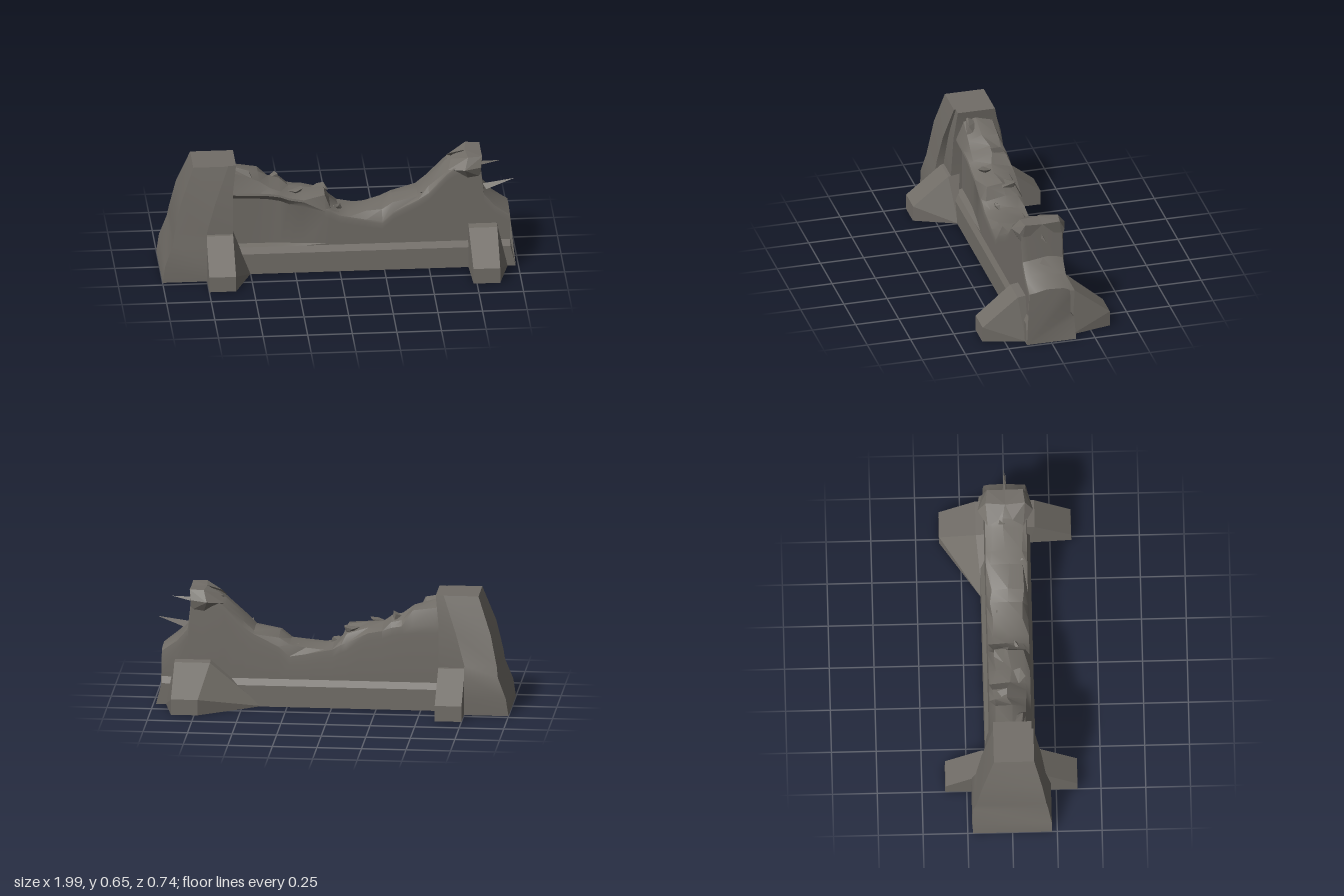
import * as THREE from 'three';
import { toCreasedNormals } from 'three/addons/utils/BufferGeometryUtils.js';
import { ConvexGeometry } from 'three/addons/geometries/ConvexGeometry.js';

// Skin a list of closed rings of [x, y, z] points, with both ends capped
function loft(rings, crease) {
  const n = rings[0].length;
  const index = [];
  for (let i = 0; i < rings.length - 1; i++) {
    for (let j = 0; j < n; j++) {
      const k = (j + 1) % n;
      const a = i * n + j, b = a + n, c = (i + 1) * n + k, d = i * n + k;
      index.push(a, b, c, a, c, d);
    }
  }
  const last = (rings.length - 1) * n;
  for (let j = 1; j < n - 1; j++) {
    index.push(0, j, j + 1, last, last + j + 1, last + j);
  }
  const g = new THREE.BufferGeometry();
  g.setAttribute('position', new THREE.Float32BufferAttribute(rings.flat(2), 3));
  g.setIndex(index);
  return toCreasedNormals(g, crease);
}

const hull = (pts) => new ConvexGeometry(pts.map((p) => new THREE.Vector3(...p)));

export function createModel() {
  const group = new THREE.Group();
  const stone = new THREE.MeshStandardMaterial({ color: 0x716d67 });
  stone.name = 'weathered stone';
  const add = (name, geometry) => {
    const mesh = new THREE.Mesh(geometry, stone);
    mesh.name = name;
    group.add(mesh);
  };
  let seed = 7;
  const rand = () => ((seed = (seed * 16807) % 2147483647) / 2147483647);

  // Broken wall: x, crest height, shoulder height, front panel depth, x at the base
  const stations = [
    [-0.7, 0.64, 0.5, 0.085], [-0.58, 0.61, 0.485, 0.085], [-0.45, 0.57, 0.48, 0.085],
    [-0.39, 0.53, 0.475, 0.087], [-0.33, 0.515, 0.465, 0.092], [-0.28, 0.475, 0.445, 0.097],
    [-0.2, 0.465, 0.43, 0.105], [-0.08, 0.455, 0.37], [-0.05, 0.39, 0.36],
    [0, 0.345, 0.33], [0.05, 0.335, 0.32], [0.15, 0.345, 0.3], [0.24, 0.36, 0.285],
    [0.3, 0.41, 0.34], [0.44, 0.43, 0.41], [0.5, 0.49, 0.45], [0.6, 0.59, 0.56],
    [0.64, 0.62, 0.59], [0.72, 0.65, 0.62], [0.79, 0.65, 0.61], [0.81, 0.45, 0.43],
    [0.87, 0.375, 0.36], [0.955, 0.32, 0.3, 0.12, 0.985],
  ];
  add('brokenWall', loft(stations.map(([x, top, sh, panel = 0.12, xb = x]) => {
    const drop = () => Math.min(top - sh, 0.04) * rand();
    return [
      [xb, 0, 0.14], [x, 0.12, 0.138], [x, 0.155, 0.12], [x, 0.165, panel],
      [x, sh - 0.045, panel], [x, sh - 0.012, 0.12], [x, sh, 0.117],
      [x, top - drop(), 0.07 + 0.03 * rand()], [x, top, 0.04 * (rand() - 0.5)],
      [x, top - drop(), -0.07 - 0.03 * rand()],
      [x, sh, -0.115], [x, sh - 0.045, -0.12], [x, 0.155, -0.12], [x, 0.12, -0.142], [xb, 0, -0.145],
    ];
  }), 0.45));

  // Stepped end pier: each level is y, x0, x1, z front, z back
  const pier = (name, levels) => add(name, loft(levels.map(([y, x0, x1, zf, zb]) => [
    [x0, y, zf], [x0, y, -zb], [x1, y, -zb], [x1, y, zf],
  ]), 0.3));
  pier('outerPier', [
    [0, -1, -0.75, 0.22, 0.22], [0.1, -0.985, -0.75, 0.22, 0.225], [0.22, -0.94, -0.75, 0.2, 0.22],
    [0.28, -0.932, -0.75, 0.19, 0.2], [0.45, -0.895, -0.7, 0.168, 0.165], [0.655, -0.82, -0.625, 0.125, 0.1],
  ]);
  pier('innerPier', [
    [0, -0.8, -0.6, 0.15, 0.15], [0.25, -0.8, -0.6, 0.15, 0.15],
    [0.485, -0.78, -0.6, 0.135, 0.135], [0.655, -0.75, -0.58, 0.115, 0.1],
  ]);

  // Sloping buttresses: side, outer x range, base x range and top x range at the wall
  const buttress = (name, s, [t0, t1], [b0, b1], [u0, u1]) => add(name, hull([
    [t0, 0, 0.37 * s], [t1, 0, 0.37 * s], [t0, 0.088, 0.368 * s], [t1, 0.088, 0.368 * s],
    [b0, 0, 0.135 * s], [b1, 0, 0.135 * s], [u0, 0.25, 0.165 * s], [u1, 0.25, 0.165 * s],
    [u0, 0.26, 0.1 * s], [u1, 0.26, 0.1 * s],
  ]));
  buttress('frontRightButtress', 1, [-0.75, -0.6], [-0.75, -0.5], [-0.75, -0.6]);
  buttress('backRightButtress', -1, [-0.75, -0.6], [-0.75, -0.6], [-0.75, -0.6]);
  buttress('frontLeftButtress', 1, [0.73, 0.88], [0.72, 0.94], [0.72, 0.88]);
  buttress('backLeftButtress', -1, [0.73, 0.88], [0.39, 0.93], [0.68, 0.88]);

  // Jagged blocks crowning the tall end
  for (const s of [1, -1]) {
    add('crownBlock', hull([
      [0.61, 0.58, 0.1 * s], [0.7, 0.595, 0.155 * s], [0.79, 0.6, 0.13 * s], [0.72, 0.655, 0.11 * s],
      [0.8, 0.655, 0.1 * s], [0.71, 0.655, 0], [0.8, 0.65, 0], [0.63, 0.62, 0.04 * s],
      [0.72, 0.53, 0.115 * s], [0.79, 0.54, 0.115 * s],
    ]));
  }

  // Loose rubble along the crest: x, y, z, size
  const rubble = [
    [-0.54, 0.59, 0.05, 0.05], [-0.38, 0.51, -0.06, 0.05], [-0.25, 0.455, 0.05, 0.045],
    [-0.1, 0.43, -0.04, 0.045], [-0.02, 0.345, 0.06, 0.04], [0.22, 0.34, -0.03, 0.05],
    [0.46, 0.42, 0.05, 0.05], [0.64, 0.59, 0, 0.05],
  ];
  for (const [x, y, z, r] of rubble) {
    const pts = [];
    for (let i = 0; i < 8; i++) {
      pts.push([x + (rand() * 2 - 1) * r * 1.2, y + (rand() * 2 - 1) * r * 0.6, z + (rand() * 2 - 1) * r]);
    }
    add('rubble', hull(pts));
  }

  // Splinters on the broken end
  add('upperSplinter', hull([[0.78, 0.56, 0.01], [0.78, 0.56, -0.012], [0.78, 0.585, 0.003], [0.91, 0.588, 0.005]]));
  add('lowerSplinter', hull([[0.8, 0.41, 0.028], [0.8, 0.4, -0.015], [0.8, 0.445, 0], [0.99, 0.472, -0.003]]));

  return group;
}
